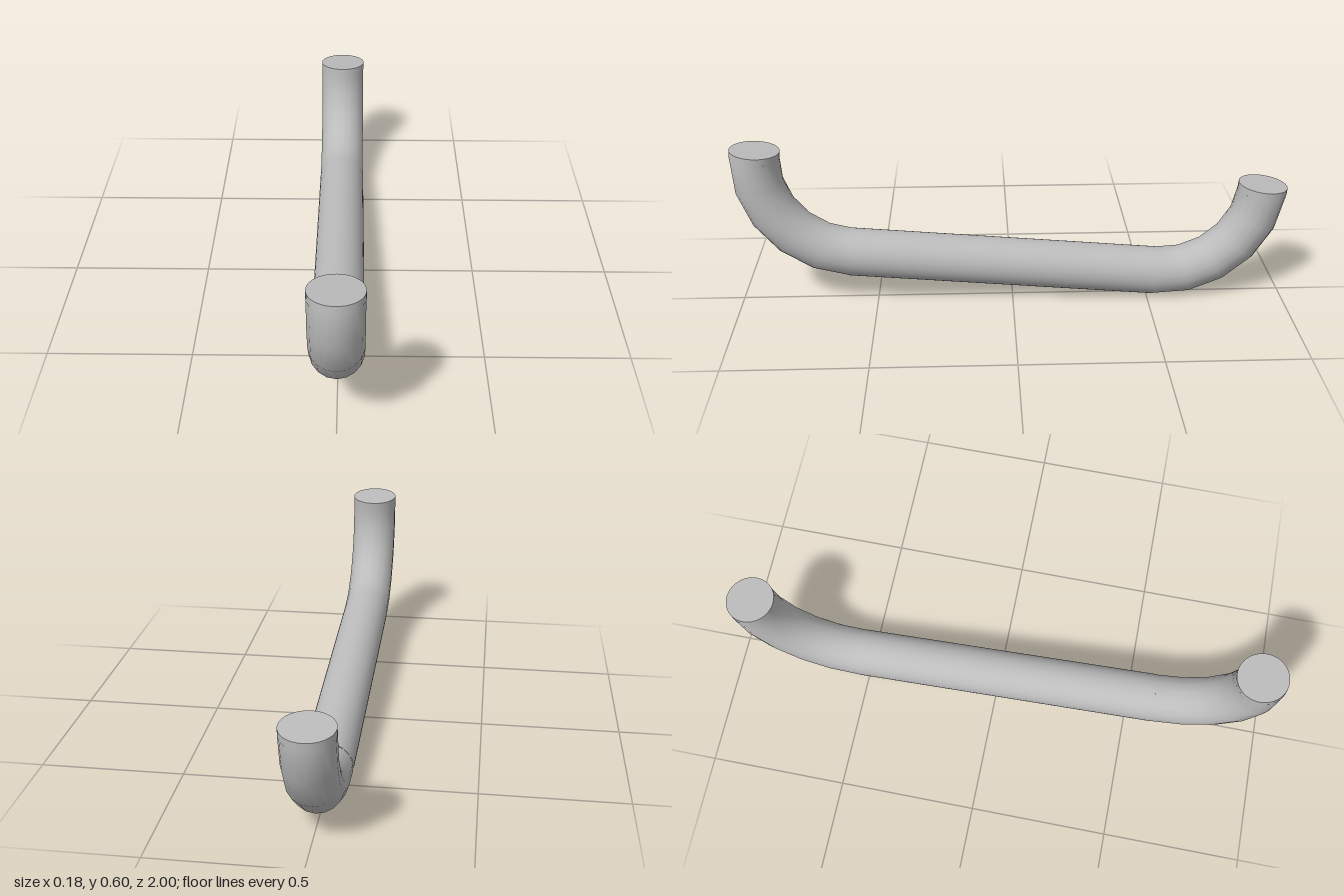
import * as THREE from 'three';

const RADIUS = 0.088;   // rod thickness
const BEND = 0.35;      // bend centreline radius
const HALF = 0.563;     // half length of the straight grip
const STUB = 0.026;     // short straight end past each bend
const TILT = THREE.MathUtils.degToRad(5);

export function createModel() {
  const metal = new THREE.MeshStandardMaterial({ color: 0xbcbcbc });
  metal.name = 'greyMetal';

  // The handle is laid out along x, then tilted and turned to run along z
  const handle = new THREE.Group();
  handle.name = 'handle';
  const add = (name, geometry) => {
    const mesh = new THREE.Mesh(geometry, metal);
    mesh.name = name;
    handle.add(mesh);
  };

  // Straight grip bar
  add('gripBar', new THREE.CylinderGeometry(RADIUS, RADIUS, HALF * 2, 40, 1, true).rotateZ(Math.PI / 2));

  // Bend and flat-capped stub at each end
  for (const [side, s] of [['front', 1], ['back', -1]]) {
    const bend = new THREE.TorusGeometry(BEND, RADIUS, 18, 5, Math.PI / 2);
    bend.rotateZ(s > 0 ? -Math.PI / 2 : Math.PI).translate(s * HALF, BEND, 0);
    add(side + 'Bend', bend);

    const stub = new THREE.CylinderGeometry(RADIUS, RADIUS, STUB, 40);
    stub.translate(s * (HALF + BEND), BEND + STUB / 2, 0);
    add(side + 'Stub', stub);
  }

  const tilted = new THREE.Group();
  tilted.name = 'tiltedHandle';
  handle.rotation.z = TILT;
  tilted.add(handle);
  tilted.rotation.y = -Math.PI / 2;
  tilted.position.set(0, 0.136, 0.032);

  const model = new THREE.Group();
  model.name = 'barHandle';
  model.add(tilted);
  return model;
}
